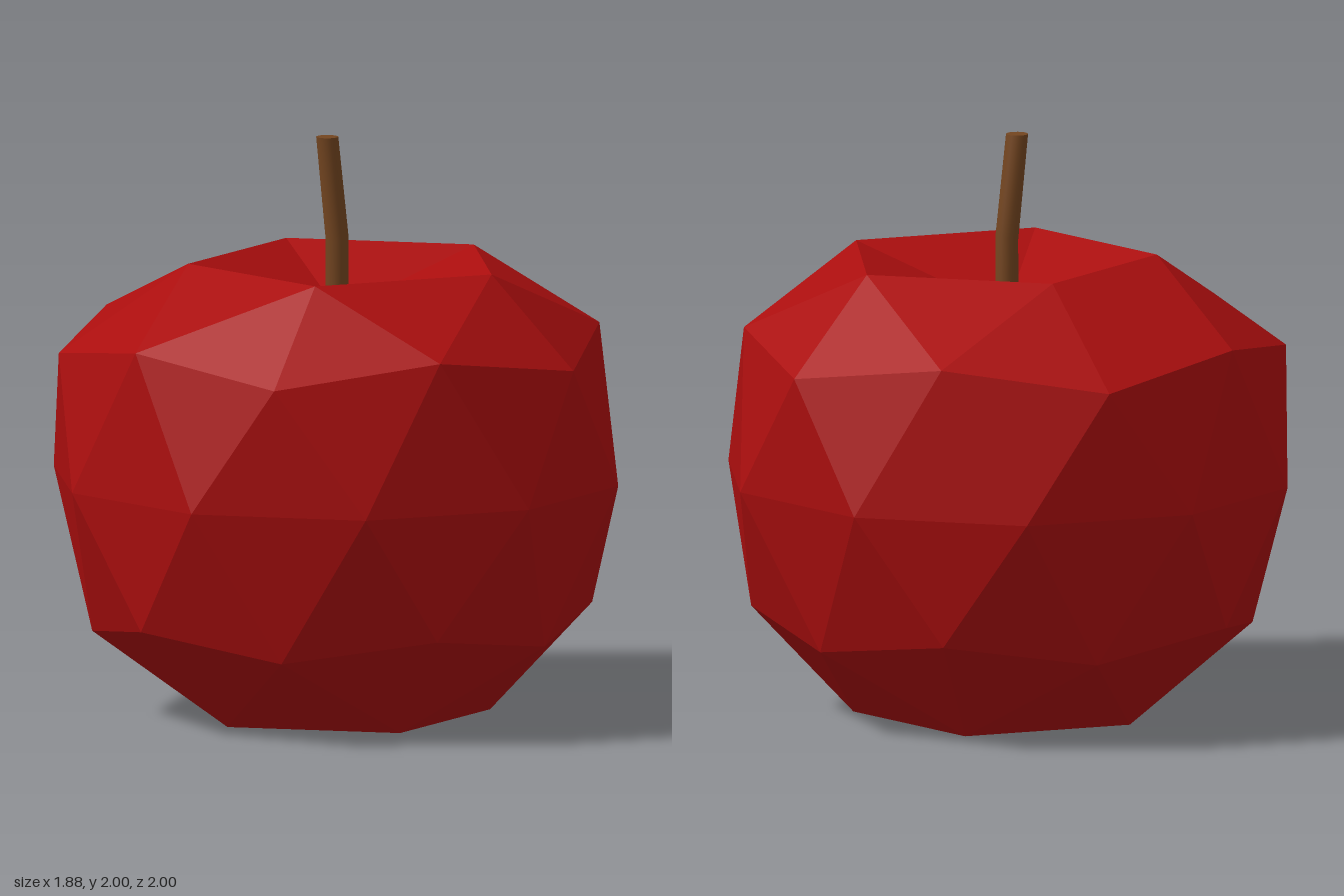
import * as THREE from 'three';

// Ring of points around the y axis; even and odd points may differ in radius and height
function ring(count, startDeg, evenOdd, dx = 0, dz = 0, sx = 1) {
  return Array.from({ length: count }, (_, i) => {
    const [r, y] = evenOdd[i % evenOdd.length];
    const a = THREE.MathUtils.degToRad(startDeg + (360 / count) * i);
    return new THREE.Vector3(dx + r * Math.cos(a) * sx, y, dz + r * Math.sin(a));
  });
}

// Low-poly fruit: a once-divided icosahedron with both poles pushed in
function fruitGeometry() {
  const topPit = new THREE.Vector3(0.01, 1.39, 0);
  const T = ring(5, 0, [[0.56, 1.57]], 0.01, 0.066);
  const U = ring(10, 0, [[0.95, 1.26], [0.91, 1.34]], -0.005);
  const E = ring(10, 18, [[1, 0.82]], 0, 0, 0.98);
  const L = ring(10, 0, [[0.835, 0.295], [0.885, 0.37]], -0.005);
  const B = ring(5, 36, [[0.515, 0]], 0.02);
  const bottomPit = new THREE.Vector3(0.01, 0.14, 0);

  const points = [];
  const tri = (...p) => points.push(...p);
  for (let k = 0; k < 5; k++) {
    const n = (k + 1) % 5, a = 2 * k, b = a + 1, c = (a + 2) % 10, z = (a + 9) % 10;
    // Top hollow and shoulder
    tri(topPit, T[n], T[k]);
    tri(U[b], T[k], T[n]);
    tri(T[k], U[b], U[a]);
    tri(T[k], U[a], U[z]);
    // Lower curve and bottom hollow
    tri(B[k], L[a], L[b]);
    tri(B[k], L[b], L[c]);
    tri(L[c], B[n], B[k]);
    tri(bottomPit, B[k], B[n]);
  }
  // Bands above and below the equator
  for (let j = 0; j < 10; j++) {
    const n = (j + 1) % 10;
    tri(E[j], U[j], U[n]);
    tri(U[n], E[n], E[j]);
    tri(L[n], E[j], E[n]);
    tri(E[j], L[n], L[j]);
  }
  const geo = new THREE.BufferGeometry().setFromPoints(points);
  geo.computeVertexNormals();
  return geo;
}

// Round stem: upright at the base, then leaning toward -x above the bend
function stemGeometry() {
  const base = 1.38, bend = 1.645, top = 2;
  const geo = new THREE.CylinderGeometry(0.038, 0.04, 2, 16, 2);
  const pos = geo.attributes.position;
  for (let i = 0; i < pos.count; i++) {
    const level = Math.round(pos.getY(i)); // -1 base, 0 bend, 1 top
    const x = pos.getX(i);
    if (level < 0) pos.setXYZ(i, x + 0.005, base, pos.getZ(i));
    else if (level === 0) pos.setXYZ(i, x + 0.005, bend + x * 0.3, pos.getZ(i));
    else pos.setXYZ(i, x - 0.04, top, pos.getZ(i));
  }
  geo.computeVertexNormals();
  return geo;
}

export function createModel() {
  const red = new THREE.MeshStandardMaterial({ color: 0xaa0e0e, flatShading: true });
  red.name = 'red skin';
  const brown = new THREE.MeshStandardMaterial({ color: 0x734520 });
  brown.name = 'brown stem';

  const model = new THREE.Group();
  model.name = 'apple';
  const fruit = new THREE.Mesh(fruitGeometry(), red);
  fruit.name = 'fruit';
  const stem = new THREE.Mesh(stemGeometry(), brown);
  stem.name = 'stem';
  model.add(fruit, stem);
  return model;
}
